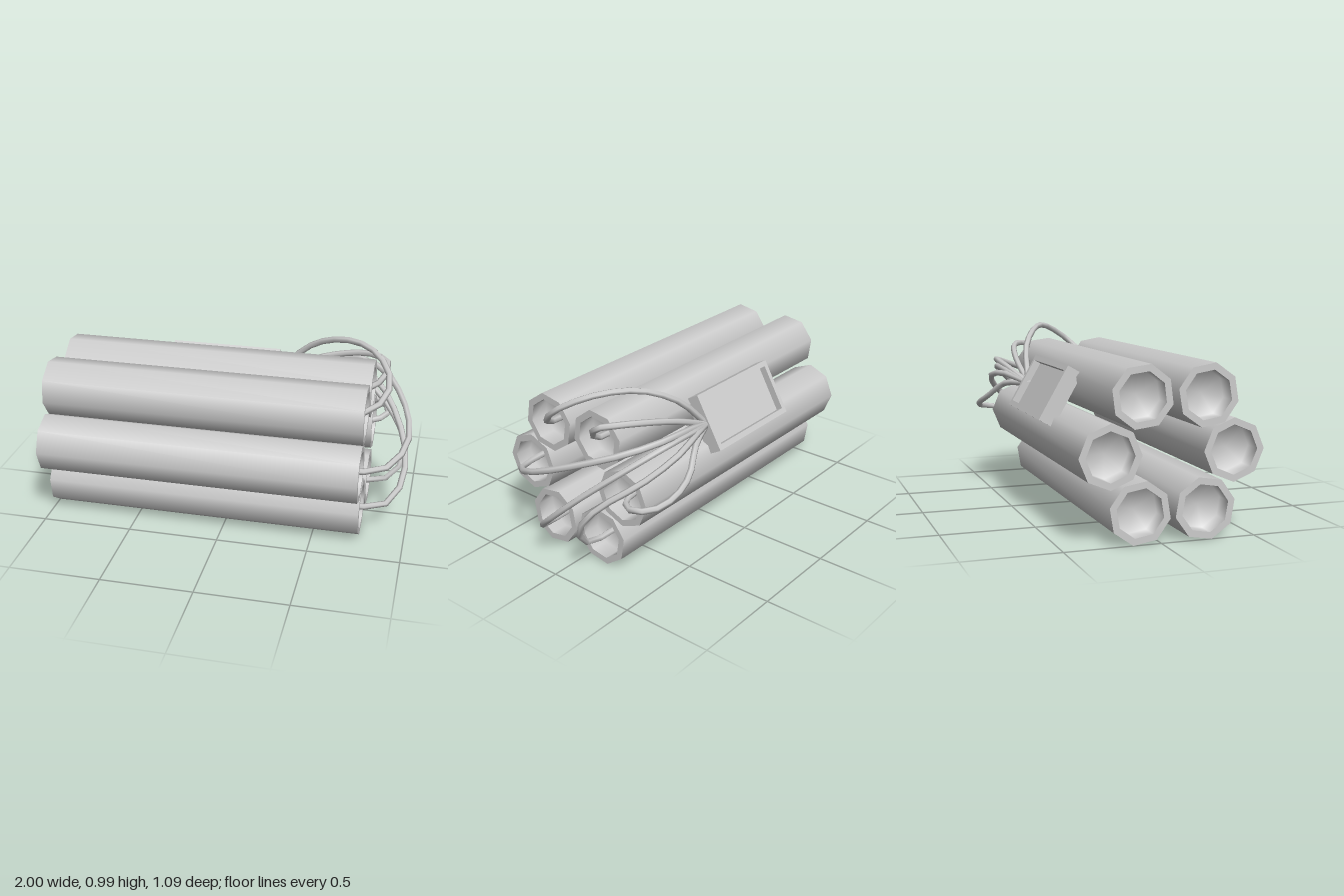
import * as THREE from 'three';

const material = new THREE.MeshStandardMaterial({ color: 0xcccccc });
const thin = new THREE.MeshStandardMaterial({ color: 0xcccccc, side: THREE.DoubleSide });
const BACK = -1, FRONT = 0.757, SIDES = 8;
const OUTER = 0.162, INNER = 0.126, RECESS = 0.1;

function addMesh(parent, name, geometry, mat = material) {
  const mesh = new THREE.Mesh(geometry, mat);
  mesh.name = name;
  parent.add(mesh);
  return mesh;
}

// Eight-sided tube along x with a rim and a recessed cup at both ends
function createStick(y, z, turn) {
  const stick = new THREE.Group();
  stick.name = 'stick';
  const length = FRONT - BACK;
  addMesh(stick, 'casing', new THREE.CylinderGeometry(OUTER, OUTER, length, SIDES, 1, true).rotateZ(-Math.PI / 2));
  const cupProfile = [[INNER, 0], [INNER, -RECESS], [0, -RECESS]].map(([r, h]) => new THREE.Vector2(r, h));
  for (const end of [1, -1]) {
    const cap = new THREE.Group();
    cap.name = 'endCap';
    addMesh(cap, 'rim', new THREE.RingGeometry(INNER, OUTER, SIDES).rotateX(-Math.PI / 2).rotateY(Math.PI / 2));
    addMesh(cap, 'recess', new THREE.LatheGeometry(cupProfile, SIDES), thin);
    cap.rotation.z = -end * Math.PI / 2;
    cap.position.x = end * length / 2;
    stick.add(cap);
  }
  stick.position.set((FRONT + BACK) / 2, y, z);
  stick.rotation.x = THREE.MathUtils.degToRad(turn);
  return stick;
}

// Tilted box with a framed, sunken face
function createControlBox() {
  const box = new THREE.Group();
  box.name = 'controlBox';
  const w = 0.63, h = 0.32, frameDepth = 0.04, baseDepth = 0.05;
  const rect = (Type, hw, hh) => new Type([[-hw, -hh], [hw, -hh], [hw, hh], [-hw, hh]].map(([x, y]) => new THREE.Vector2(x, y)));
  const face = rect(THREE.Shape, w / 2, h / 2);
  face.holes.push(rect(THREE.Path, 0.288, 0.13));
  addMesh(box, 'frame', new THREE.ExtrudeGeometry(face, { depth: frameDepth, bevelEnabled: false })).position.z = -frameDepth;
  addMesh(box, 'base', new THREE.BoxGeometry(w, h, baseDepth)).position.z = -frameDepth - baseDepth / 2;
  box.rotation.set(Math.PI / 6, Math.PI, 0);
  box.position.set(-0.125, 0.69, -0.38);
  return box;
}

// Each wire starts at the box and runs into one stick
const wireStart = [0.17, 0.67, -0.35];
const wirePaths = [
  [[0.36, 0.86, -0.31], [0.53, 0.95, -0.22], [0.68, 0.97, -0.13], [0.79, 0.94, -0.03], [0.86, 0.86, 0.1], [0.83, 0.78, 0.18], [0.75, 0.73, 0.225], [0.65, 0.72, 0.235]],
  [[0.45, 0.79, -0.35], [0.68, 0.85, -0.3], [0.79, 0.855, -0.23], [0.83, 0.84, -0.17], [0.81, 0.79, -0.12], [0.74, 0.73, -0.09], [0.65, 0.72, -0.085]],
  [[0.42, 0.75, -0.42], [0.62, 0.77, -0.43], [0.8, 0.735, -0.33], [0.92, 0.66, -0.13], [0.975, 0.59, 0.05], [0.97, 0.53, 0.2], [0.88, 0.47, 0.34], [0.76, 0.455, 0.38], [0.65, 0.455, 0.385]],
  [[0.38, 0.65, -0.44], [0.52, 0.56, -0.51], [0.65, 0.51, -0.53], [0.76, 0.475, -0.5], [0.83, 0.455, -0.4], [0.76, 0.44, -0.29], [0.65, 0.44, -0.265]],
  [[0.4, 0.73, -0.43], [0.58, 0.74, -0.44], [0.78, 0.645, -0.33], [0.92, 0.48, -0.14], [0.965, 0.36, -0.01], [0.955, 0.25, 0.11], [0.88, 0.17, 0.2], [0.76, 0.15, 0.22], [0.65, 0.15, 0.225]],
  [[0.38, 0.71, -0.44], [0.57, 0.68, -0.475], [0.75, 0.58, -0.4], [0.89, 0.46, -0.255], [0.95, 0.36, -0.17], [0.93, 0.25, -0.12], [0.85, 0.165, -0.1], [0.76, 0.145, -0.1], [0.65, 0.145, -0.1]],
];

export function createModel() {
  const model = new THREE.Group();
  model.name = 'stickBundle';

  // Ring of six sticks: y, z, turn in degrees
  const sticks = [
    [0.72, 0.243, 13], [0.725, -0.1, 15], [0.4425, 0.383, 0],
    [0.4425, -0.263, 0], [0.158, 0.232, -13], [0.158, -0.11, 13],
  ];
  for (const s of sticks) model.add(createStick(...s));

  model.add(createControlBox());

  for (const path of wirePaths) {
    const points = [wireStart, ...path].map((p) => new THREE.Vector3(...p));
    addMesh(model, 'wire', new THREE.TubeGeometry(new THREE.CatmullRomCurve3(points), 14, 0.0175, 6), thin);
  }
  return model;
}
